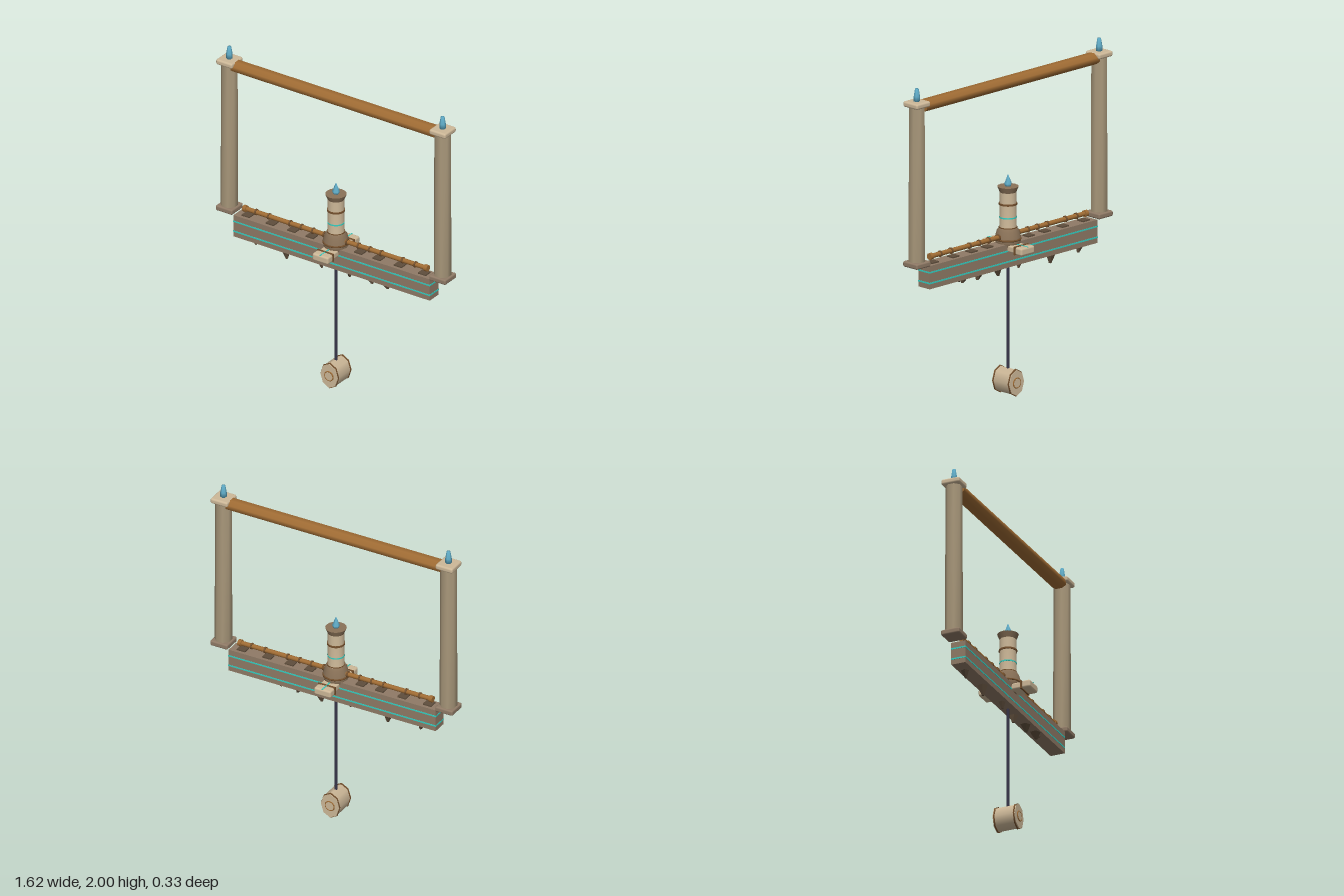
import * as THREE from 'three';
import { mergeVertices } from 'three/addons/utils/BufferGeometryUtils.js';
import { RoundedBoxGeometry } from 'three/addons/geometries/RoundedBoxGeometry.js';

const mat = (name, color) => {
  const m = new THREE.MeshStandardMaterial({ color });
  m.name = name;
  return m;
};

// Weld all corners so normals blend across edges
function soften(geo) {
  geo.deleteAttribute('uv');
  geo.deleteAttribute('normal');
  const g = mergeVertices(geo, 1e-4);
  g.computeVertexNormals();
  return g;
}

export function createModel() {
  const root = new THREE.Group();
  root.name = 'balanceGate';

  const pale = mat('pale stone', 0xcdb898);
  const stone = mat('pillar stone', 0xa8977a);
  const beamStone = mat('beam stone', 0x8f7a66);
  const hubStone = mat('hub stone', 0x8a7258);
  const bronze = mat('bronze', 0xa06c34);
  const darkBronze = mat('dark bronze', 0x75512e);
  const rock = mat('broken rock', 0x5f4e3c);
  const glow = mat('glowing cyan', 0x35cfc2);
  const crystal = mat('blue crystal', 0x62b0cc);
  const iron = mat('dark iron', 0x38364a);

  const add = (name, geo, material, x = 0, y = 0, z = 0, parent = root) => {
    const m = new THREE.Mesh(geo, material);
    m.name = name;
    m.position.set(x, y, z);
    parent.add(m);
    return m;
  };
  const box = (w, h, d) => new THREE.BoxGeometry(w, h, d);
  const rbox = (w, h, d, r) => new RoundedBoxGeometry(w, h, d, 2, r);
  const cyl = (rt, rb, h, n = 12) => new THREE.CylinderGeometry(rt, rb, h, n);
  const alongX = (g) => g.rotateZ(Math.PI / 2);
  const alongZ = (g) => g.rotateX(Math.PI / 2);
  const lathe = (pts, n) =>
    new THREE.LatheGeometry(pts.map(([r, y]) => new THREE.Vector2(r, y)), n);

  // Pillars with capital, foot and crystal tip
  for (const s of [-1, 1]) {
    const pillar = new THREE.Group();
    pillar.name = s > 0 ? 'leftPillar' : 'rightPillar';
    pillar.position.x = s * 0.75;
    root.add(pillar);
    const r = 0.0455 / Math.cos(Math.PI / 8);
    const shaft = cyl(r, r * 1.06, 0.97, 8).rotateY(Math.PI / 8);
    add('pillarShaft', soften(shaft), stone, 0, 1.42, 0, pillar);
    add('capital', rbox(0.115, 0.034, 0.118, 0.012), pale, 0, 1.907, 0, pillar);
    add('foot', rbox(0.117, 0.034, 0.118, 0.01), beamStone, 0, 0.943, 0, pillar);
    const tip = lathe([[0, 0], [0.019, 0], [0.019, 0.03], [0.011, 0.076], [0, 0.076]], 6);
    add('crystalTip', tip, crystal, 0, 1.924, 0, pillar);
  }

  // Upper crossbar
  const lintel = alongX(cyl(1, 1, 1.42, 8).rotateY(Math.PI / 8));
  const k = 1 / Math.cos(Math.PI / 8);
  lintel.scale(1, 0.033 * k, 0.045 * k);
  add('upperCrossbar', lintel, bronze, 0, 1.888, 0);

  // Balance beam with glowing inlays round all four sides
  add('balanceBeam', box(1.38, 0.14, 0.09), beamStone, 0, 0.855, 0);
  for (const y of [0.82, 0.885]) {
    add('beamInlay', box(1.384, 0.009, 0.094), glow, 0, y, 0);
  }
  // Worn plates on the top of the beam
  for (const x of [-0.62, -0.45, -0.3, -0.17, 0.17, 0.3, 0.45, 0.62]) {
    add('topPlate', box(0.055, 0.009, 0.05), rock, x, 0.928, 0);
  }

  // Broken shards hanging below: x, radius, length, lean
  const shards = [
    [-0.58, 0.026, 0.042, 0.012], [-0.35, 0.032, 0.062, 0.004], [-0.1, 0.022, 0.042, 0.006],
    [0.1, 0.03, 0.05, -0.01], [0.24, 0.032, 0.042, 0.014], [0.36, 0.034, 0.038, 0.008],
    [0.42, 0.022, 0.02, -0.008],
  ];
  shards.forEach(([x, r, h, lean], i) => {
    const g = new THREE.CylinderGeometry(r, r * 0.25, h, 5).toNonIndexed();
    g.rotateY(i * 1.3);
    const p = g.attributes.position;
    for (let j = 0; j < p.count; j++) if (p.getY(j) < 0) p.setX(j, p.getX(j) + lean);
    g.computeVertexNormals();
    add('shard', g, rock, x, 0.787 - h / 2, (i % 3 - 1) * 0.008);
  });

  // Ringed rod above the beam
  add('ringedRod', alongX(cyl(0.014, 0.014, 1.28)), bronze, 0, 0.965, 0);
  for (const s of [-1, 1]) {
    for (const x of [0.08, 0.16, 0.24, 0.32, 0.47, 0.56]) {
      add('rodRing', alongX(cyl(0.019, 0.019, 0.01)), darkBronze, s * x, 0.965, 0);
    }
    add('rodKnob', alongX(cyl(0.02, 0.02, 0.022)), bronze, s * 0.637, 0.965, 0);
  }

  // Central hub with side arms pointing front and back
  const hub = new THREE.SphereGeometry(0.077, 12, 8);
  add('hub', hub, hubStone, 0, 0.936, 0);
  add('hubBand', new THREE.TorusGeometry(0.074, 0.006, 6, 16).rotateX(Math.PI / 2), darkBronze, 0, 0.945, 0);
  for (const s of [-1, 1]) {
    add('hubArm', rbox(0.1, 0.04, 0.12, 0.01), pale, 0, 0.9, s * 0.095);
    add('armEnd', rbox(0.112, 0.047, 0.055, 0.012), pale, 0, 0.9, s * 0.138);
    add('armBand', box(0.114, 0.05, 0.009), darkBronze, 0, 0.9, s * 0.107);
    add('armInlay', box(0.007, 0.004, 0.09), glow, 0, 0.923, s * 0.118);
  }

  // Turret: flared base, drum, bands and cap
  const drum = lathe([[0.07, 0.97], [0.06, 1.0], [0.05, 1.02], [0.049, 1.15], [0.049, 1.232]], 16);
  add('turretDrum', drum, pale);
  const skirt = lathe([[0.076, 0.955], [0.066, 0.995], [0.055, 1.012]], 16);
  add('turretSkirt', skirt, hubStone);
  for (const y of [1.012, 1.155]) add('turretBand', cyl(0.054, 0.054, 0.011, 16), darkBronze, 0, y, 0);
  add('turretInlay', cyl(0.0515, 0.0515, 0.008, 16), glow, 0, 1.075, 0);
  add('turretCap', cyl(0.063, 0.049, 0.034, 16), hubStone, 0, 1.243, 0);
  add('turretCrystal', lathe([[0, 0], [0.016, 0], [0.023, 0.018], [0, 0.075]], 6), crystal, 0, 1.258, 0);

  // Pendulum rod and bob
  add('pendulumRod', cyl(0.008, 0.008, 0.66, 8), iron, 0, 0.475, 0);
  const bob = new THREE.Group();
  bob.name = 'pendulumBob';
  bob.position.y = 0.086;
  root.add(bob);
  const prism = (w, h, d) => alongZ(cyl(1, 1, d, 8)).scale(w, h, 1);
  add('bobBody', prism(0.06, 0.078, 0.144), pale, 0, 0, 0, bob);
  for (const s of [-1, 1]) {
    add('bobRim', prism(0.063, 0.083, 0.008), darkBronze, 0, 0, s * 0.063, bob);
    add('bobRing', new THREE.TorusGeometry(0.029, 0.004, 6, 16), bronze, 0, 0, s * 0.073, bob);
    add('bobBoss', alongZ(cyl(0.027, 0.027, 0.006, 12)), pale, 0, 0, s * 0.073, bob);
  }
  return root;
}
